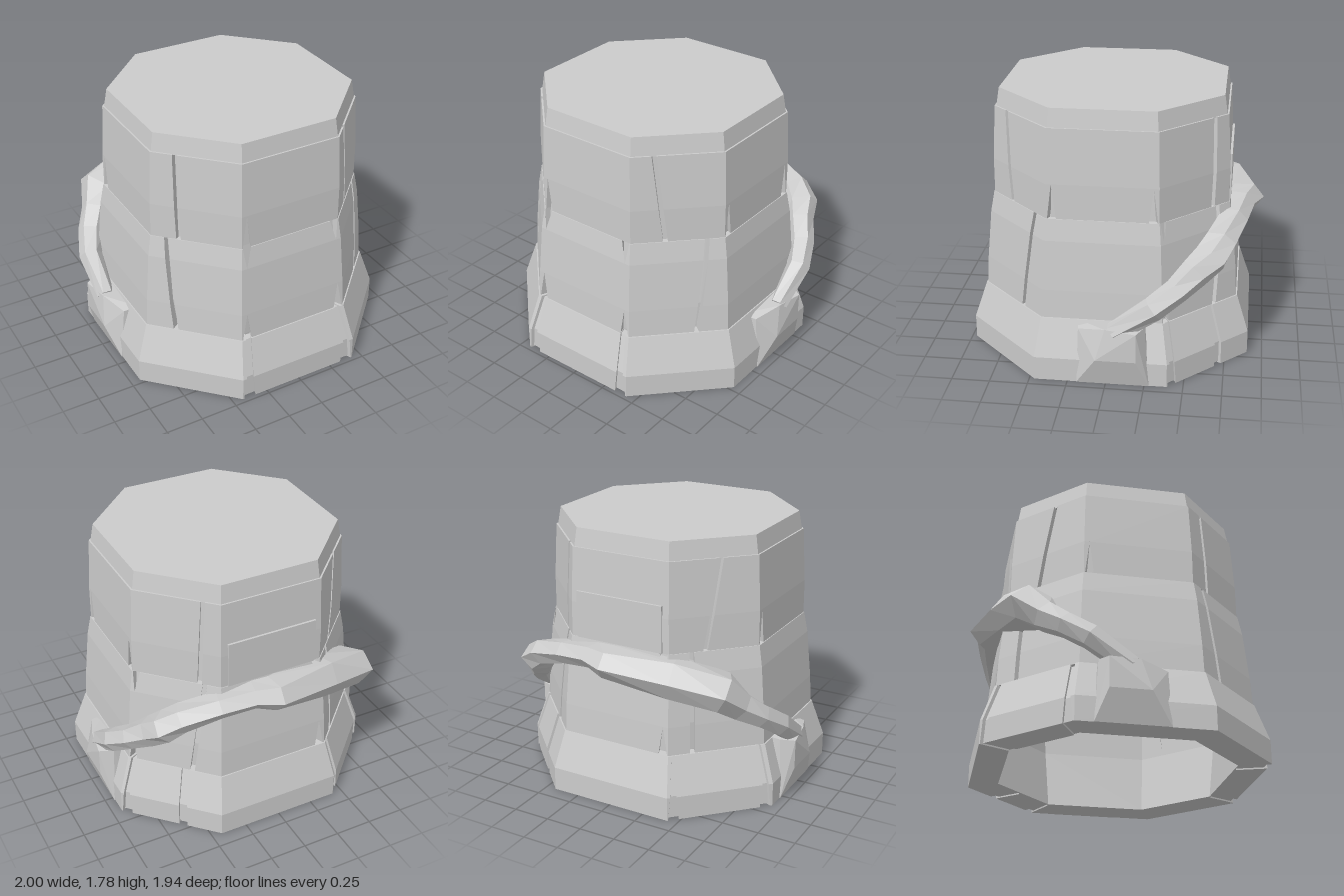
import * as THREE from 'three';
import { ConvexGeometry } from 'three/addons/geometries/ConvexGeometry.js';

const ZC = 0.035; // centre of the octagon in z
const stone = new THREE.MeshStandardMaterial({ color: 0xcccccc, flatShading: true });
const thin = new THREE.MeshStandardMaterial({ color: 0xcccccc, flatShading: true, side: THREE.DoubleSide });

// Point on an octagon of apothem a; t counts sides from the front, towards +x
function octPoint(t, y, a) {
  const h = 0.46 * a;
  const c = [[-h, a], [h, a], [a, h], [a, -h], [h, -a], [-h, -a], [-a, -h], [-a, h]];
  t = ((t % 8) + 8) % 8;
  const i = Math.floor(t), u = t - i, p = c[i], q = c[(i + 1) % 8];
  return new THREE.Vector3(p[0] + (q[0] - p[0]) * u, y, p[1] + (q[1] - p[1]) * u + ZC);
}

function toGeometry(tris) {
  const g = new THREE.BufferGeometry().setFromPoints(tris);
  g.computeVertexNormals();
  return g;
}

function addMesh(group, name, geometry, material = stone) {
  const m = new THREE.Mesh(geometry, material);
  m.name = name;
  group.add(m);
  return m;
}

// Gaps between stones: a slot runs the full height, a chip has a width per level
const slot = (t0, t1 = t0, w = 0.05) => ({ t: f => t0 + (t1 - t0) * f, w: () => w });
const chip = (t, widths) => ({ t: () => t, w: j => widths[j] || 0 });

// Course of stones: a profile [y, apothem] swept round the octagon, cut at the gaps
function course(profile, gaps, depth) {
  const tris = [], n = profile.length, y0 = profile[0][0], y1 = profile[n - 1][0];
  const frac = j => (profile[j][0] - y0) / (y1 - y0);
  const column = tOf => {
    const pts = profile.map(([y, a], j) => octPoint(tOf(j), y, a));
    pts.unshift(octPoint(tOf(0), y0, profile[0][1] - depth[0]));
    pts.push(octPoint(tOf(n - 1), y1, profile[n - 1][1] - depth[1]));
    return pts;
  };
  const count = Math.max(1, gaps.length);
  for (let i = 0; i < count; i++) {
    let start = () => 0, end = () => 8;
    if (gaps.length) {
      const g = gaps[i], e = gaps[(i + 1) % count], turn = i + 1 === count ? 8 : 0;
      start = j => g.t(frac(j)) + g.w(j) / 2;
      end = j => e.t(frac(j)) - e.w(j) / 2 + turn;
    }
    const cols = [column(start)];
    for (let k = Math.floor(start(0)) + 1; k < end(0); k++) cols.push(column(() => k));
    cols.push(column(end));
    for (let c = 0; c + 1 < cols.length; c++) {
      const A = cols[c], B = cols[c + 1];
      for (let k = 0; k + 1 < A.length; k++) tris.push(A[k], B[k], B[k + 1], A[k], B[k + 1], A[k + 1]);
    }
    // Ends of each stone
    if (gaps.length) {
      const A = cols[0], B = cols[cols.length - 1];
      for (let k = 1; k + 1 < A.length; k++) tris.push(A[0], A[k], A[k + 1], B[0], B[k + 1], B[k]);
    }
  }
  return toGeometry(tris);
}

// Faceted root swept through rings [x, y, z, outward radius, vertical radius]
function root(rings, sides = 6) {
  const at = rings.map(r => new THREE.Vector3(r[0], r[1], r[2]));
  const loops = rings.map((r, i) => {
    const T = at[Math.min(i + 1, at.length - 1)].clone().sub(at[Math.max(i - 1, 0)]).normalize();
    const N = new THREE.Vector3(r[0], 0, r[2]);
    N.addScaledVector(T, -N.dot(T)).normalize();
    const B = new THREE.Vector3().crossVectors(T, N);
    return Array.from({ length: sides }, (_, k) => {
      const a = (k / sides) * Math.PI * 2;
      return at[i].clone().addScaledVector(N, Math.cos(a) * r[3]).addScaledVector(B, Math.sin(a) * r[4]);
    });
  });
  const tris = [], last = loops[loops.length - 1];
  for (let i = 0; i + 1 < loops.length; i++) {
    const A = loops[i], B = loops[i + 1];
    for (let k = 0; k < sides; k++) {
      const m = (k + 1) % sides;
      tris.push(A[k], A[m], B[m], A[k], B[m], B[k]);
    }
  }
  for (let k = 1; k + 1 < sides; k++) tris.push(loops[0][0], loops[0][k + 1], loops[0][k], last[0], last[k], last[k + 1]);
  return toGeometry(tris);
}

export function createModel() {
  const group = new THREE.Group();

  // Hollow wall behind the stones, with a thicker foot
  addMesh(group, 'innerWall', course(
    [[0.01, 0.74], [0.41, 0.79], [0.6, 0.795], [1.07, 0.745], [1.66, 0.72]], [], [0, 0]), thin);
  addMesh(group, 'footBacking', course([[0.01, 0.915], [0.16, 0.915], [0.4, 0.835]], [], [0.175, 0.045]));

  // Sloping foot stones
  const foot = [0.1, 0.06, 0.05];
  addMesh(group, 'footStones', course([[0, 0.935], [0.16, 0.935], [0.41, 0.853]], [
    chip(0.06, foot), chip(0.94, foot), chip(3.06, foot), slot(3.62, 3.62, 0.08),
    chip(5.06, foot), chip(5.93, foot)], [0.19, 0.06]));

  // Lower and upper courses
  const both = [0.08, 0, 0, 0.08], low = [0.08, 0, 0];
  addMesh(group, 'lowerStones', course([[0.41, 0.845], [0.6, 0.835], [0.93, 0.805], [1.07, 0.78]], [
    chip(0.05, both), chip(0.95, both), slot(1.68, 1.81), chip(3.05, both), slot(3.69, 3.82),
    chip(4.95, both), slot(5.25), slot(7.31, 7.18)], [0.05, 0.05]));
  addMesh(group, 'upperStones', course([[1.07, 0.775], [1.3, 0.774], [1.66, 0.755]], [
    chip(0.05, low), slot(1.37, 1.25), chip(2.05, low), chip(2.95, low), slot(3.76, 3.8),
    slot(5.4, 5.58), chip(6.05, low), slot(7.31, 7.27)], [0.04, 0.04]));

  // Closed top
  addMesh(group, 'topSlab', course([[1.655, 0.745], [1.78, 0.725]], [], [0.745, 0.725]));

  // Raised panel at the back
  const panel = addMesh(group, 'backPanel', new THREE.BoxGeometry(0.62, 0.31, 0.04));
  panel.position.set(0, 1.225, -0.73);

  // Bulging stones on both flanks
  const boulder = [[0.8, 0, 0.19], [0.94, 0, 0.19], [0.8, 0.38, 0.19], [0.9, 0.37, 0.18], [1, 0.2, 0.06],
    [0.97, 0.41, 0], [1, 0.4, -0.2], [1, 0.2, -0.2], [0.94, 0, -0.28], [0.8, 0, -0.28],
    [0.8, 0.41, -0.24], [0.91, 0.41, -0.25]];
  for (const s of [1, -1]) {
    addMesh(group, s > 0 ? 'leftBoulder' : 'rightBoulder',
      new ConvexGeometry(boulder.map(([x, y, z]) => new THREE.Vector3(s * x, y, z))));
  }

  // Root climbing from one flank, over the back and down the other, pressed to the wall
  addMesh(group, 'root', root([
    [0.93, 0.37, -0.05, 0.06, 0.07], [0.92, 0.55, -0.3, 0.08, 0.08], [0.85, 0.65, -0.44, 0.09, 0.08],
    [0.76, 0.74, -0.55, 0.1, 0.1], [0.7, 0.82, -0.64, 0.13, 0.1], [0.61, 0.89, -0.69, 0.12, 0.09],
    [0.38, 0.96, -0.76, 0.11, 0.08], [0.16, 0.99, -0.8, 0.11, 0.08], [0.04, 0.98, -0.83, 0.14, 0.1],
    [-0.38, 0.92, -0.73, 0.15, 0.14], [-0.68, 0.84, -0.62, 0.18, 0.13], [-0.76, 0.74, -0.55, 0.1, 0.1],
    [-0.85, 0.65, -0.44, 0.09, 0.08], [-0.92, 0.55, -0.3, 0.08, 0.08], [-0.93, 0.37, -0.05, 0.06, 0.07]]));

  return group;
}
